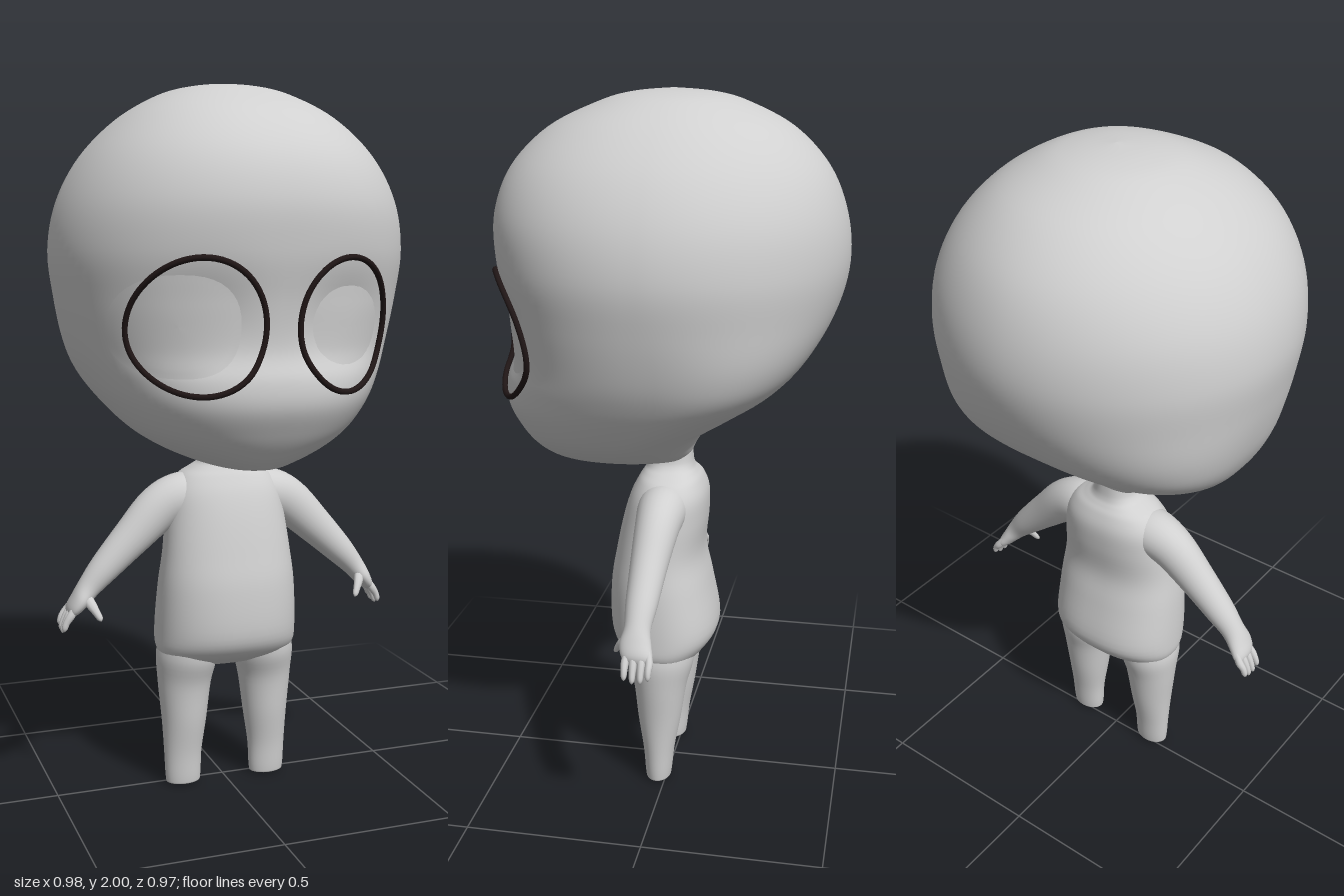
import * as THREE from 'three';

const skin = new THREE.MeshStandardMaterial({ color: 0xd0d0d0 });
skin.name = 'grey skin';
const ink = new THREE.MeshStandardMaterial({ color: 0x201616 });
ink.name = 'dark outline';

// Smooth interpolation through rows of numbers, t from 0 to 1
function sample(rows, t) {
  const n = rows.length - 1;
  const f = Math.min(Math.max(t, 0), 1) * n;
  const i = Math.min(Math.floor(f), n - 1), u = f - i;
  const [a, b, c, d] = [rows[Math.max(i - 1, 0)], rows[i], rows[i + 1], rows[Math.min(i + 2, n)]];
  return b.map((_, k) => b[k] + 0.5 * u * (c[k] - a[k] + u * (2 * a[k] - 5 * b[k] + 4 * c[k] - d[k]
    + u * (3 * (b[k] - c[k]) + d[k] - a[k]))));
}

// Closed-around surface: fn(angle, t) returns [x, y, z]
function surface(fn, around, along, flip = false) {
  const pos = [], idx = [];
  for (let j = 0; j <= along; j++) {
    for (let i = 0; i < around; i++) pos.push(...fn(i / around * Math.PI * 2, j / along));
  }
  for (let j = 0; j < along; j++) {
    for (let i = 0; i < around; i++) {
      const a = j * around + i, b = j * around + (i + 1) % around, c = b + around, d = a + around;
      if (flip) idx.push(a, c, b, a, d, c);
      else idx.push(a, b, c, a, c, d);
    }
  }
  const g = new THREE.BufferGeometry();
  g.setAttribute('position', new THREE.Float32BufferAttribute(pos, 3));
  g.setIndex(idx);
  g.computeVertexNormals();
  return g;
}

// Horizontal section from a row [y, half width, front z, back z, z of the widest point, back squareness]
const FRONT = 2.2;
function section([y, w, zf, zb, cz = (zf + zb) / 2, back = 2.3], a) {
  const s = Math.sin(a), c = Math.cos(a), p = 2 / (c > 0 ? FRONT : back);
  return [
    Math.max(w, 0) * Math.sign(s) * Math.abs(s) ** p, y,
    cz + (c > 0 ? zf - cz : zb - cz) * Math.abs(c) ** p,
  ];
}

// Limb from rows [x, y, z, radius in the xy plane, radius in z]
function limb(rows, side, around = 24, steps = 5) {
  const h = 0.5 / (rows.length - 1);
  return surface((a, t) => {
    const [x, y, z, ra, rz] = sample(rows, t);
    const p = sample(rows, t - h), q = sample(rows, t + h);
    const tx = q[0] - p[0], ty = q[1] - p[1], l = Math.hypot(tx, ty) || 1;
    const k = Math.max(ra, 0) * Math.cos(a);
    return [side * (x - ty / l * k), y + tx / l * k, z + Math.max(rz, 0) * Math.sin(a)];
  }, around, (rows.length - 1) * steps, side < 0);
}

const HEAD = [
  [0.962, 0, 0.16, 0.14, 0.15, 2], [0.97, 0.08, 0.31, -0.02, 0.15, 2],
  [0.99, 0.15, 0.355, -0.05, 0.15, 2], [1.03, 0.238, 0.395, -0.07, 0.14, 2.1],
  [1.08, 0.31, 0.43, -0.11, 0.11, 2.3], [1.15, 0.372, 0.465, -0.21, 0.06, 2.6],
  [1.22, 0.415, 0.468, -0.31, 0.02, 2.75], [1.3, 0.447, 0.447, -0.385, 0.01, 2.5],
  [1.42, 0.475, 0.455, -0.45, 0.005, 2.1], [1.55, 0.49, 0.477, -0.482, 0, 1.95],
  [1.68, 0.465, 0.48, -0.47, 0, 1.95], [1.8, 0.4, 0.435, -0.42, 0, 1.95],
  [1.9, 0.3, 0.335, -0.325, 0, 2], [1.965, 0.19, 0.2, -0.2, 0, 2],
  [1.99, 0.1, 0.11, -0.11, 0, 2], [2, 0, 0, 0, 0, 2],
];
const TORSO = [
  [0.355, 0, 0.01, 0], [0.36, 0.1, 0.06, -0.04], [0.378, 0.17, 0.1, -0.07],
  [0.41, 0.203, 0.15, -0.108], [0.47, 0.207, 0.18, -0.135], [0.6, 0.2, 0.18, -0.112],
  [0.7, 0.187, 0.164, -0.092], [0.8, 0.175, 0.143, -0.1], [0.87, 0.163, 0.122, -0.1],
  [0.915, 0.135, 0.1, -0.085], [0.937, 0.1, 0.086, -0.07], [0.955, 0.073, 0.076, -0.06],
  [0.99, 0.062, 0.072, -0.055], [1.1, 0.06, 0.07, -0.05],
];
const LEG = [
  [0.13, 0, 0.022, 0, 0], [0.13, 0.004, 0.022, 0.044, 0.031], [0.13, 0.02, 0.022, 0.052, 0.038],
  [0.13, 0.1, 0.021, 0.056, 0.046], [0.126, 0.2, 0.02, 0.066, 0.063],
  [0.124, 0.31, 0.018, 0.078, 0.078], [0.118, 0.39, 0.02, 0.087, 0.1], [0.112, 0.47, 0.02, 0.07, 0.1],
];
const ARM = [
  [0.04, 0.868, 0.008, 0.045, 0.06], [0.12, 0.855, 0.01, 0.07, 0.07], [0.195, 0.824, 0.012, 0.067, 0.062],
  [0.28, 0.745, 0.018, 0.055, 0.052], [0.36, 0.665, 0.022, 0.043, 0.044],
  [0.405, 0.615, 0.024, 0.033, 0.037], [0.432, 0.58, 0.024, 0.026, 0.044],
  [0.453, 0.55, 0.016, 0.018, 0.042], [0.462, 0.53, 0.012, 0, 0.02],
];

// Front surface of the head at x, y
function faceZ(x, y) {
  let lo = 0, hi = 1;
  for (let i = 0; i < 30; i++) {
    const mid = (lo + hi) / 2;
    if (sample(HEAD, mid)[0] < y) lo = mid; else hi = mid;
  }
  const [, w, zf, , cz] = sample(HEAD, lo);
  const r = Math.min(Math.abs(x) / w, 1);
  return cz + (zf - cz) * (1 - r ** FRONT) ** (1 / FRONT);
}

export function createModel() {
  const model = new THREE.Group();
  model.name = 'chibi figure';
  const add = (name, geometry, material = skin) => {
    const mesh = new THREE.Mesh(geometry, material);
    mesh.name = name;
    model.add(mesh);
  };

  // Head with shallow eye sockets
  add('head', surface((a, t) => {
    const [x, y, z] = section(sample(HEAD, t), a);
    const dent = z > 0 ? 0.028 * Math.exp(-(((Math.abs(x) - 0.2) / 0.11) ** 2) - ((y - 1.36) / 0.11) ** 2) : 0;
    return [x, y, z - dent];
  }, 96, 90));

  // Torso and neck
  add('torso', surface((a, t) => section(sample(TORSO, t), a), 56, 65));

  for (const side of [1, -1]) {
    const label = side > 0 ? 'left' : 'right';
    add(label + 'Leg', limb(LEG, side, 32));
    add(label + 'Arm', limb(ARM, side, 28));

    // Four fingers and a thumb
    [0.046, 0.024, 0.002, -0.019].forEach((z, i) => {
      const drop = [0.008, 0, 0.002, 0.012][i];
      add(label + 'Finger' + (i + 1), limb([
        [0.44, 0.575, z * 0.8 + 0.004, 0.009, 0.009], [0.46, 0.545, z, 0.012, 0.011],
        [0.475, 0.515 + drop, z, 0.01, 0.009], [0.481, 0.497 + drop, z, 0.008, 0.007],
        [0.483, 0.488 + drop, z, 0, 0],
      ], side, 10, 3));
    });
    add(label + 'Thumb', limb([
      [0.425, 0.605, 0.035, 0.014, 0.016], [0.412, 0.58, 0.06, 0.015, 0.014],
      [0.398, 0.555, 0.078, 0.011, 0.01], [0.389, 0.538, 0.087, 0.008, 0.007], [0.386, 0.53, 0.09, 0, 0],
    ], side, 10, 3));

    // Smooth eye set in the socket; the right one is larger and stands prouder
    const [ex, ey, rx, ry, lift] = side > 0 ? [0.21, 1.355, 0.122, 0.105, -0.012] : [-0.255, 1.36, 0.15, 0.13, 0.004];
    add(label + 'Eye', surface((a, t) => {
      const r = 1 - t, p = 2 / 2.4;
      const x = ex + rx * r * Math.sign(Math.sin(a)) * Math.abs(Math.sin(a)) ** p;
      const y = ey - ry * r * Math.sign(Math.cos(a)) * Math.abs(Math.cos(a)) ** p;
      return [x, y, faceZ(x, y) + lift + 0.006 * (1 - r * r)];
    }, 40, 10));

    // Dark outline lying on the face
    const [cx, ox, oy, gap] = side > 0 ? [0.195, 0.143, 0.173, 0.005] : [-0.205, 0.163, 0.173, 0.01];
    const points = [];
    for (let i = 0; i < 32; i++) {
      const a = i / 32 * Math.PI * 2;
      const x = cx + ox * Math.cos(a), y = 1.36 + oy * Math.sin(a);
      points.push(new THREE.Vector3(x, y, faceZ(x, y) + gap));
    }
    add(label + 'EyeOutline', new THREE.TubeGeometry(new THREE.CatmullRomCurve3(points, true), 72, 0.008, 8, true), ink);
  }
  return model;
}
